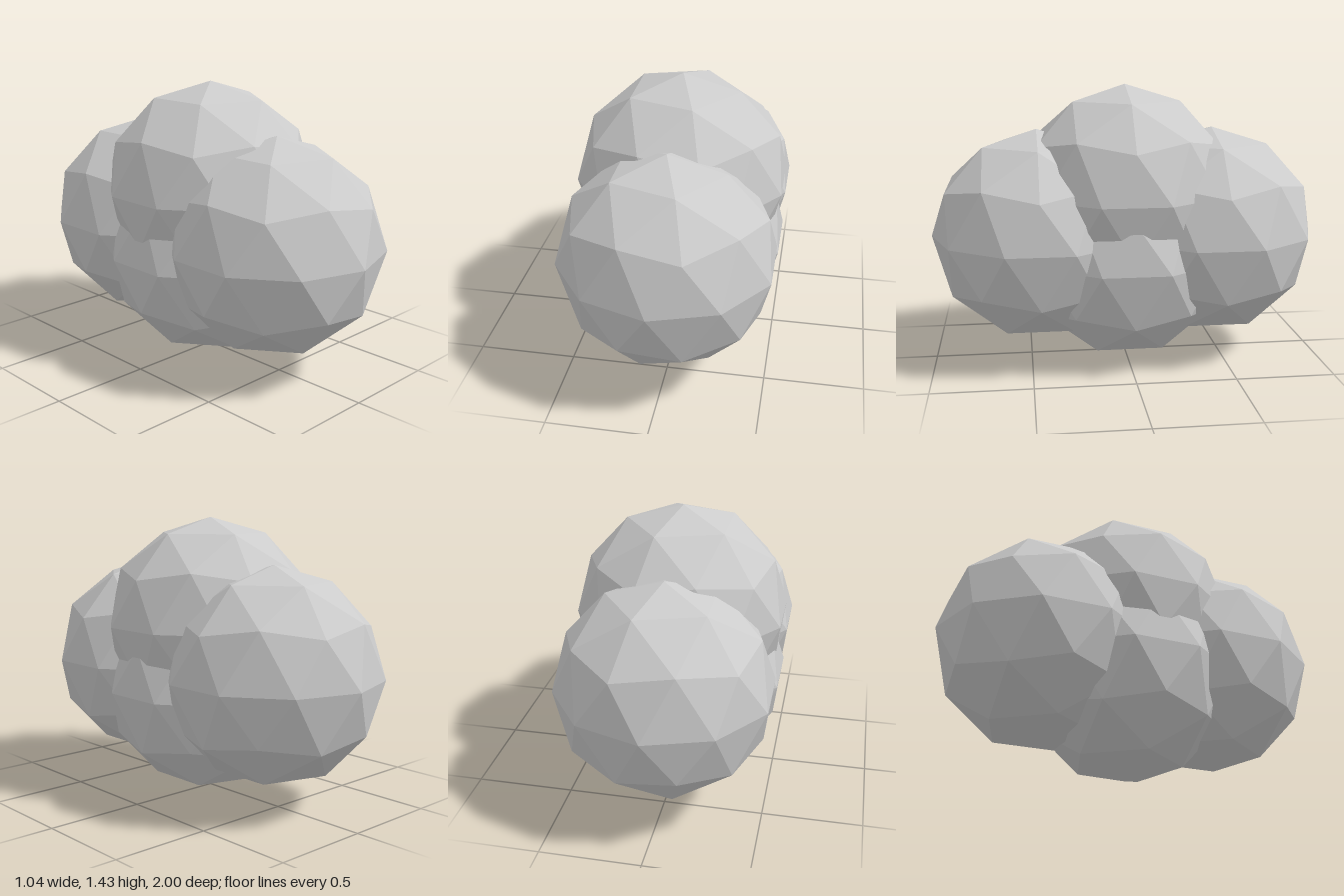
import * as THREE from 'three';

const RADIUS = 0.545;

// Faceted ball with a vertex at each pole and an upper-ring vertex toward +x
function ballGeometry() {
  const geometry = new THREE.IcosahedronGeometry(RADIUS, 1);
  geometry.rotateX(-Math.atan((1 + Math.sqrt(5)) / 2));
  geometry.rotateY(Math.PI / 2);
  geometry.computeVertexNormals();
  return geometry;
}

export function createModel() {
  const group = new THREE.Group();
  group.name = 'ballCluster';
  const material = new THREE.MeshStandardMaterial({ color: 0xcccccc, flatShading: true });
  const geometry = ballGeometry();

  // Four overlapping balls: name, centre height, centre depth
  const balls = [
    ['topBall', 0.88, 0],
    ['bottomBall', RADIUS, 0],
    ['frontBall', 0.656, 1 - RADIUS],
    ['backBall', 0.656, RADIUS - 1],
  ];
  for (const [name, y, z] of balls) {
    const ball = new THREE.Mesh(geometry, material);
    ball.name = name;
    ball.position.set(0, y, z);
    group.add(ball);
  }
  return group;
}
